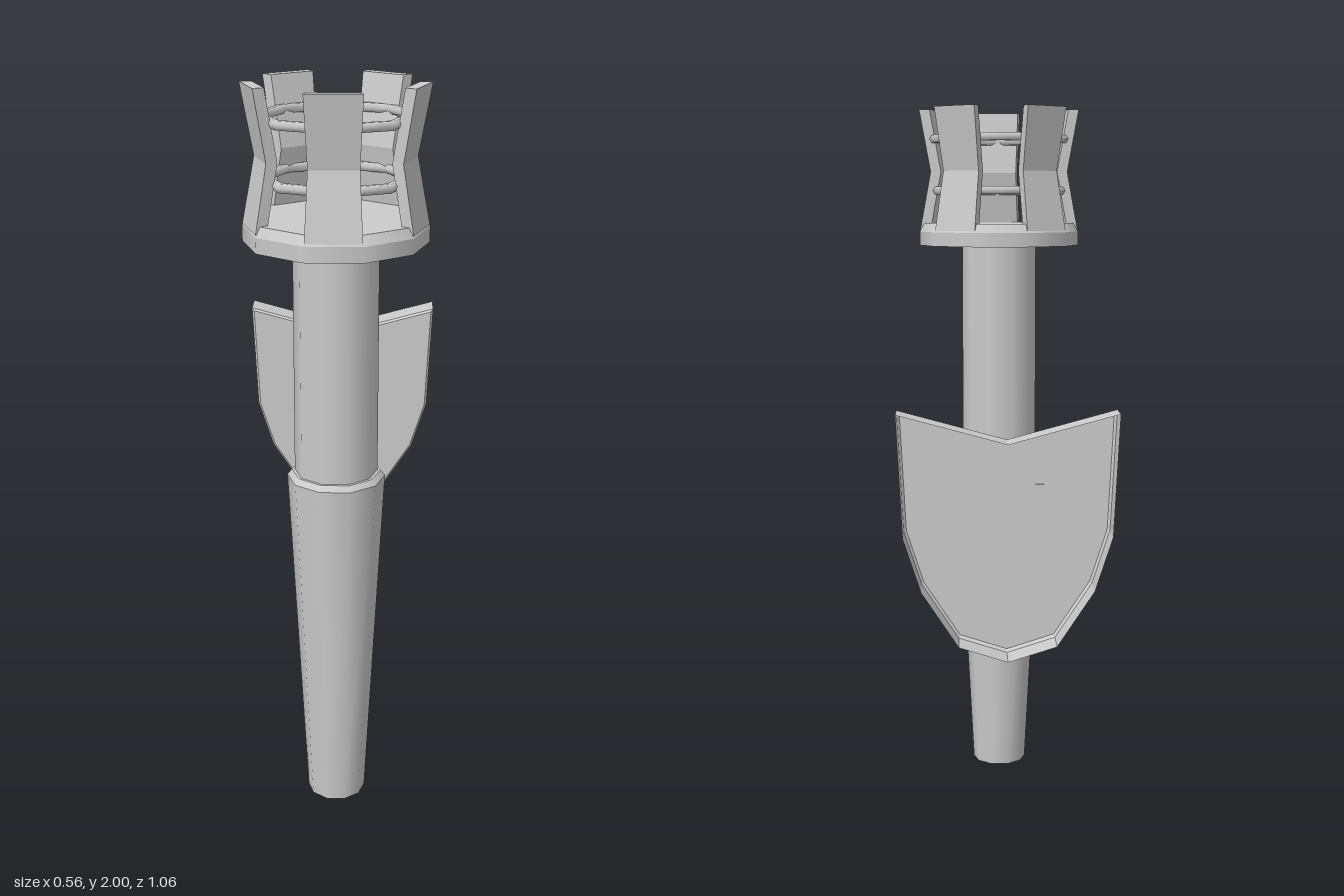
import * as THREE from 'three';

const material = new THREE.MeshStandardMaterial({ color: 0xcccccc });
const thinMaterial = new THREE.MeshStandardMaterial({ color: 0xcccccc, side: THREE.DoubleSide });
const SIDES = 10;

function add(parent, name, geometry, mat = material) {
  const mesh = new THREE.Mesh(geometry, mat);
  mesh.name = name;
  parent.add(mesh);
  return mesh;
}

// Flat-faced skin over matching cross-sections, each counterclockwise seen from the last one's end
function loft(sections, capStart, capEnd) {
  const out = [];
  const tri = (...pts) => pts.forEach((p) => out.push(...p));
  const n = sections[0].length;
  for (let s = 0; s + 1 < sections.length; s++) {
    for (let i = 0; i < n; i++) {
      const j = (i + 1) % n, lo = sections[s], hi = sections[s + 1];
      tri(lo[i], lo[j], hi[j]);
      tri(lo[i], hi[j], hi[i]);
    }
  }
  const first = sections[0], last = sections[sections.length - 1];
  for (let i = 1; i + 1 < n; i++) {
    if (capStart) tri(first[0], first[i + 1], first[i]);
    if (capEnd) tri(last[0], last[i], last[i + 1]);
  }
  const geometry = new THREE.BufferGeometry();
  geometry.setAttribute('position', new THREE.Float32BufferAttribute(out, 3));
  geometry.computeVertexNormals();
  return geometry;
}

// Ten-sided tapered drum between two heights, with a flat side to the front
function drum(rBottom, rTop, y0, y1, open = false) {
  return new THREE.CylinderGeometry(rTop, rBottom, y1 - y0, SIDES, 1, open)
    .rotateY(Math.PI / SIDES).translate(0, (y0 + y1) / 2, 0);
}

export function createModel() {
  const model = new THREE.Group();
  model.name = 'wallTorch';
  const torch = new THREE.Group();
  torch.name = 'torch';
  torch.position.z = 0.305;
  model.add(torch);

  // Handle: tapered grip with a chamfered lip, then a straight shaft
  add(torch, 'grip', drum(0.08, 0.13, 0, 0.97));
  add(torch, 'gripLip', drum(0.13, 0.118, 0.97, 0.985));
  add(torch, 'shaft', drum(0.11, 0.11, 0.96, 1.62));

  // Cup under the basket
  add(torch, 'cup', drum(0.236, 0.236, 1.605, 1.645));
  add(torch, 'cupRim', drum(0.236, 0.222, 1.645, 1.67));

  // Five waisted staves on alternate sides of the cup: [height, outer distance, half width]
  const profile = [[1.65, 0.224, 0.07], [1.82, 0.193, 0.062], [2, 0.225, 0.07]];
  const stave = loft(profile.map(([y, r, w]) => {
    const inner = r - 0.03, v = w * 0.9;
    return [[w, y, r], [v, y, inner], [-v, y, inner], [-w, y, r]];
  }), true, true);
  for (let i = 0; i < 5; i++) {
    add(torch, 'stave', stave).rotation.y = (i * Math.PI * 2) / 5;
  }

  // Two eight-sided hoops tying the staves together
  for (const [y, r] of [[1.765, 0.184], [1.915, 0.192]]) {
    add(torch, 'hoop', new THREE.TorusGeometry(r, 0.013, 6, 8).rotateX(Math.PI / 2)).position.y = y;
  }

  // Bracket arm: chamfered beam narrowing towards the handle
  const armSection = (z, w, y0, y1, c) => [
    [w, y0 + c, z], [w, y1 - c, z], [w - c, y1, z], [c - w, y1, z],
    [-w, y1 - c, z], [-w, y0 + c, z], [c - w, y0, z], [w - c, y0, z],
  ];
  add(model, 'bracketArm', loft([
    armSection(-0.44, 0.11, 0.77, 1.02, 0.015),
    armSection(0.21, 0.047, 0.835, 0.95, 0.017),
  ], false, true));

  // Wall plate: notched shield, hollow at the back, with a small bevel on its front edge
  const half = [[0.28, 1.213], [0.265, 0.9], [0.22, 0.76], [0.125, 0.615]];
  const outline = [
    [0, 1.137], ...half.map(([x, y]) => [-x, y]), [0, 0.575], ...half.slice().reverse(),
  ];
  const plateSection = (z, k) => outline.map(([x, y]) => [x * k, 0.9 + (y - 0.9) * k, z]);
  add(model, 'wallPlate', loft([
    plateSection(-0.53, 1), plateSection(-0.445, 1), plateSection(-0.438, 0.975),
  ], false, true), thinMaterial);

  return model;
}
